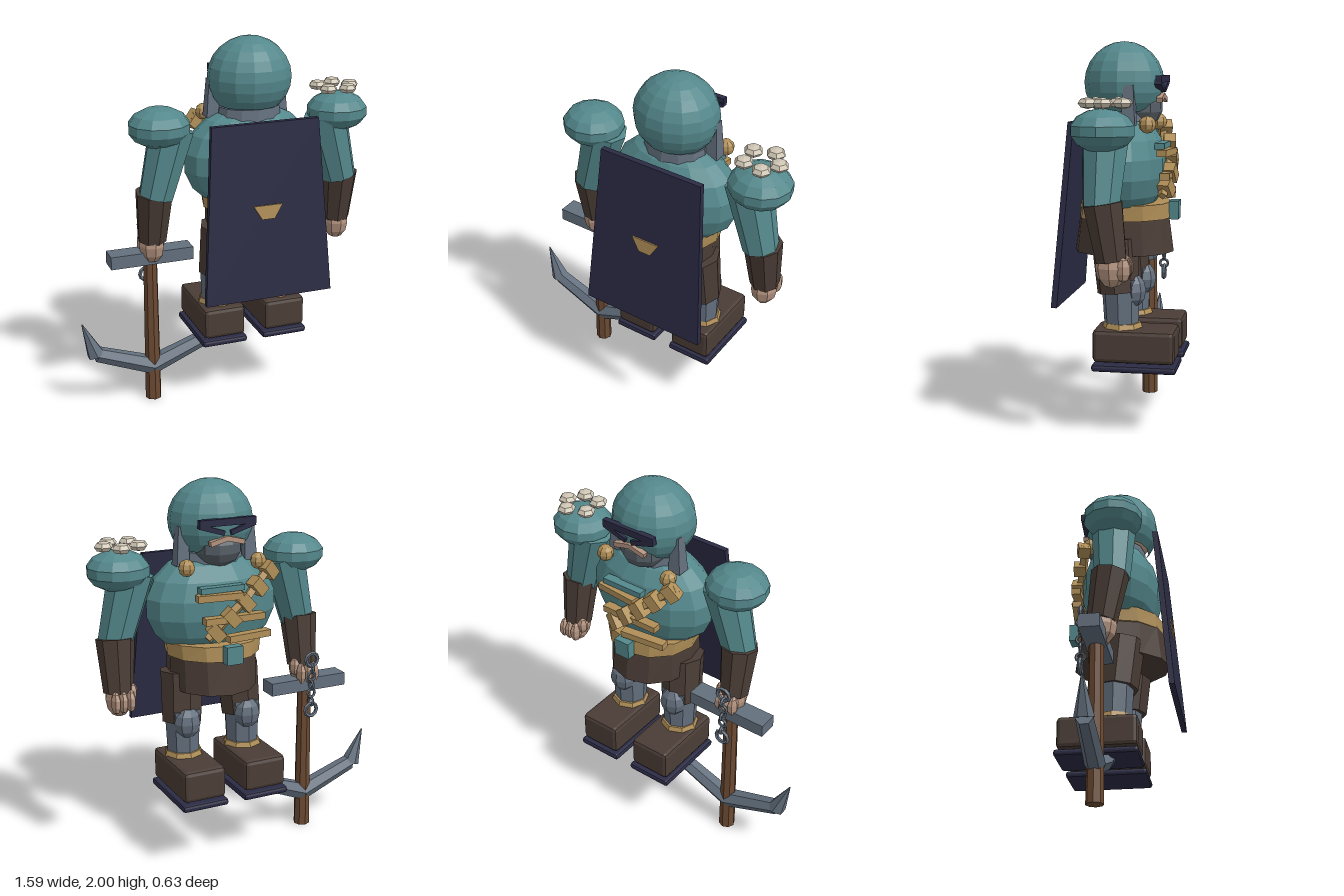
import * as THREE from 'three';
import { RoundedBoxGeometry } from 'three/addons/geometries/RoundedBoxGeometry.js';

export function createModel() {
  const root = new THREE.Group();
  root.name = 'armouredDiver';
  const colours = {
    teal: 0x54888c, brown: 0x4b3d36, brass: 0xb08f58, navy: 0x2b2b45, steel: 0x64707e,
    skin: 0xb3937f, wood: 0x6b4a32, shell: 0xcfc6b4, gunmetal: 0x555e66,
  };
  const mats = {};
  for (const [name, hex] of Object.entries(colours)) {
    mats[name] = new THREE.MeshStandardMaterial({ color: hex, flatShading: true });
    mats[name].name = name;
  }
  const CX = 0.133; // body centre line

  function add(name, geo, mat, x = 0, y = 0, z = 0) {
    const m = new THREE.Mesh(geo, mats[mat]);
    m.name = name;
    m.position.set(x, y, z);
    root.add(m);
    return m;
  }
  function ball(name, mat, p, r, ws = 12, hs = 8, theta = Math.PI) {
    const g = new THREE.SphereGeometry(1, ws, hs, 0, Math.PI * 2, 0, theta);
    g.scale(...r);
    return add(name, g, mat, ...p);
  }
  const box = (name, mat, p, s) => add(name, new THREE.BoxGeometry(...s), mat, ...p);
  // Tapered prism from point a to point b
  function limb(name, mat, a, b, ra, rb, sides = 8) {
    const A = new THREE.Vector3(...a), B = new THREE.Vector3(...b);
    const d = B.clone().sub(A);
    const m = add(name, new THREE.CylinderGeometry(rb, ra, d.length(), sides), mat);
    m.position.copy(A).add(B).multiplyScalar(0.5);
    m.quaternion.setFromUnitVectors(new THREE.Vector3(0, 1, 0), d.normalize());
    return m;
  }
  function ring(name, mat, y0, y1, bottom, top, z = 0) {
    const g = new THREE.CylinderGeometry(1, 1, y1 - y0, 12);
    const p = g.attributes.position;
    for (let i = 0; i < p.count; i++) {
      const r = p.getY(i) > 0 ? top : bottom;
      p.setX(i, p.getX(i) * r[0]);
      p.setZ(i, p.getZ(i) * r[1]);
    }
    return add(name, g, mat, CX, (y0 + y1) / 2, z);
  }

  // Head
  ball('helmet', 'teal', [CX, 1.79, 0], [0.222, 0.21, 0.205], 14, 9, Math.PI * 0.74);
  ball('head', 'skin', [CX, 1.77, 0], [0.185, 0.18, 0.175], 12, 8);
  ring('collar', 'steel', 1.55, 1.64, [0.18, 0.14], [0.165, 0.13]);
  ball('faceGuard', 'gunmetal', [CX, 1.665, -0.085], [0.125, 0.105, 0.115], 10, 7);
  box('visor', 'navy', [CX, 1.81, -0.2], [0.31, 0.035, 0.03]);
  for (const s of [-1, 1]) {
    const brow = box('brow', 'navy', [CX + s * 0.085, 1.775, -0.195], [0.14, 0.025, 0.035]);
    brow.rotation.z = s * 0.3;
    const lip = box('moustache', 'skin', [CX + s * 0.045, 1.715, -0.195], [0.1, 0.025, 0.03]);
    lip.rotation.z = -s * 0.25;
    // Cheek plates narrow toward the top
    const cheek = limb('cheekPlate', 'steel', [CX + s * 0.19, 1.58, -0.055],
      [CX + s * 0.185, 1.78, -0.055], 0.05, 0.035, 4);
    cheek.rotateY(Math.PI / 4);
    ball('claspKnob', 'brass', [CX + s * 0.2, 1.585, -0.15], [0.044, 0.044, 0.044], 8, 6);
  }

  // Torso, belt and skirt
  ball('torso', 'teal', [CX, 1.36, 0], [0.365, 0.285, 0.218], 14, 9);
  ring('belt', 'brass', 1.1, 1.18, [0.25, 0.245], [0.26, 0.24], -0.01);
  ring('skirt', 'brown', 0.92, 1.11, [0.235, 0.26], [0.235, 0.235]);
  box('buckle', 'teal', [CX, 1.14, -0.265], [0.09, 0.095, 0.05]);

  // Chest straps and bandolier pouches
  box('chestPlate', 'teal', [0.17, 1.475, -0.205], [0.24, 0.03, 0.05]);
  [[0.19, 1.44, 0.24], [0.11, 1.32, 0.33], [0.03, 1.22, 0.25]].forEach(([x, y, w], i) => {
    const b = box('chestBar', 'brass', [x, y, -0.23], [w, 0.035, 0.05]);
    b.rotation.y = [-0.1, 0, 0.12][i];
  });
  limb('bandolierStrap', 'brass', [-0.13, 1.56, -0.165], [0.05, 1.4, -0.22], 0.025, 0.025, 4);
  limb('bandolierStrap', 'brass', [0.05, 1.4, -0.22], [0.25, 1.22, -0.215], 0.025, 0.025, 4);
  const pouchZ = [-0.18, -0.215, -0.235, -0.24, -0.23];
  pouchZ.forEach((z, i) => {
    const p = box('pouch', 'brass', [-0.11 + i * 0.08, 1.54 - i * 0.07, z], [0.06, 0.09, 0.065]);
    p.rotation.set(0, 0.3 - i * 0.15, -0.72, 'YXZ');
  });

  // Cape: tapered sloping board with a small badge plate
  const slope = Math.atan2(0.08, 0.93);
  const cape = new THREE.BoxGeometry(1, 0.93, 0.03);
  const cp = cape.attributes.position;
  for (let i = 0; i < cp.count; i++) {
    const y = cp.getY(i);
    cp.setX(i, cp.getX(i) * (0.645 - (y / 0.93) * 0.12));
    cp.setZ(i, cp.getZ(i) - y * Math.tan(slope));
  }
  add('cape', cape, 'navy', CX, 1.135, 0.26);
  const badge = new THREE.Shape([[-0.08, 0.037], [-0.035, -0.037], [0.035, -0.037], [0.08, 0.037]]
    .map(([x, y]) => new THREE.Vector2(x, y)));
  const badgeMesh = add('capeBadge', new THREE.ExtrudeGeometry(badge, { depth: 0.009, bevelEnabled: false }),
    'brass', CX, 1.137, 0.274);
  badgeMesh.rotation.x = -slope;

  // Arms and legs, mirrored about the body centre line
  for (const s of [-1, 1]) {
    const X = (d) => CX + s * d;
    ball('shoulderPad', 'teal', [X(0.498), 1.57, 0.02], [0.165, 0.105, 0.16], 12, 7);
    limb('upperArm', 'teal', [X(0.43), 1.56, 0.015], [X(0.525), 1.2, 0.022], 0.12, 0.092);
    limb('gauntlet', 'brown', [X(0.53), 1.225, 0.012], [X(0.535), 0.95, -0.03], 0.1, 0.078);
    ball('hand', 'skin', [X(0.537), 0.92, -0.03], [0.07, 0.1, 0.08], 8, 6);
    for (let i = 0; i < 3; i++) {
      ball('finger', 'skin', [X(0.495 + i * 0.04), 0.915, -0.095], [0.026, 0.06, 0.04], 6, 5);
    }
    ball('thumb', 'skin', [X(0.475), 0.95, -0.06], [0.03, 0.05, 0.035], 6, 5);

    limb('thigh', 'brown', [X(0.175), 0.73, 0.0], [X(0.16), 1.0, 0.025], 0.11, 0.12);
    limb('shin', 'steel', [X(0.175), 0.54, -0.015], [X(0.175), 0.8, -0.01], 0.088, 0.1);
    ball('kneePad', 'steel', [X(0.175), 0.74, -0.08], [0.075, 0.085, 0.062], 8, 6);
    limb('ankleBand', 'brass', [X(0.175), 0.53, -0.02], [X(0.175), 0.575, -0.02], 0.112, 0.095);
    add('boot', new RoundedBoxGeometry(0.236, 0.17, 0.42, 1, 0.022), 'brown', X(0.175), 0.465, -0.092);
    add('sole', new RoundedBoxGeometry(0.258, 0.037, 0.435, 1, 0.014), 'navy', X(0.175), 0.353, -0.095);
  }

  // Barnacles on the left shoulder
  [[0.545, -0.045], [0.647, -0.083], [0.71, 0], [0.66, 0.083], [0.557, 0.066]].forEach(([x, z]) => {
    ball('barnacle', 'shell', [x, 1.7, z], [0.05, 0.028, 0.05], 6, 4);
  });

  // Anchor held in the right hand
  const AX = -0.407, AZ = -0.056;
  limb('anchorShaft', 'wood', [AX, 0, AZ], [AX, 0.84, AZ], 0.045, 0.038);
  box('anchorCrossbar', 'steel', [AX, 0.85, AZ], [0.455, 0.07, 0.107]);
  for (const s of [-1, 1]) {
    limb('anchorArm', 'steel', [AX, 0.197, AZ], [AX + s * 0.31, 0.315, AZ], 0.052, 0.043, 6);
    limb('anchorFluke', 'steel', [AX + s * 0.318, 0.315, AZ], [AX + s * 0.388, 0.505, AZ], 0.05, 0.003, 6);
  }
  // Chain: large end rings with small alternating links between
  for (let i = 0; i < 7; i++) {
    const end = i === 0 || i === 6;
    const link = add('chainLink', new THREE.TorusGeometry(end ? 0.036 : 0.022, end ? 0.011 : 0.008, 5, 10),
      'steel', AX, 1.0 - i * 0.048, -0.135);
    link.rotation.y = i % 2 ? Math.PI / 2 : 0;
  }
  return root;
}
